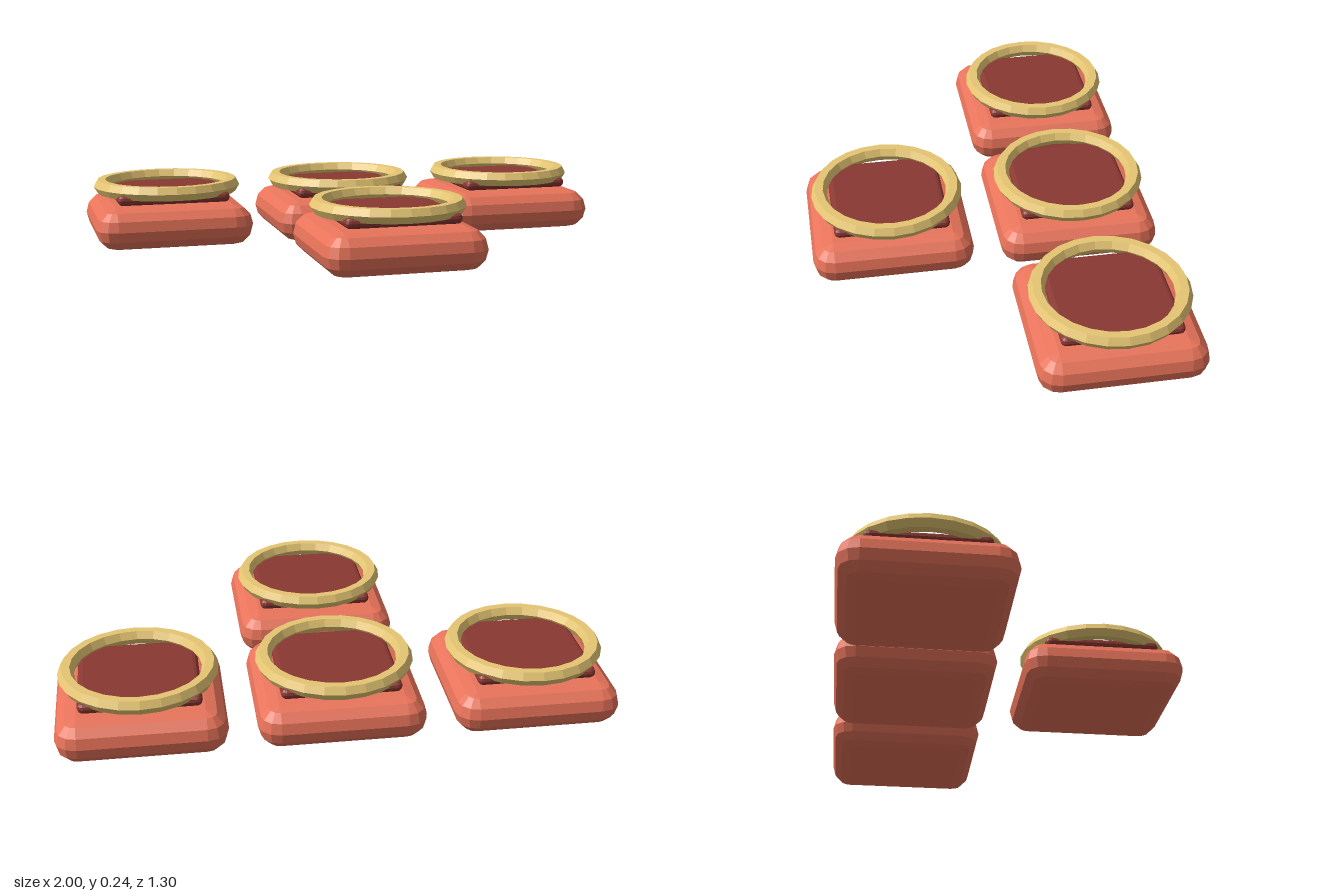
import * as THREE from 'three';

const material = (color) => new THREE.MeshStandardMaterial({ color, flatShading: true });

// Square cushion with fully rounded sides: quarter-round corners, faceted every 30 degrees
function cushionGeometry(width, height) {
  const r = height / 2, core = width / 2 - r, count = 16, levels = 7;
  const positions = [], index = [];
  for (let l = 0; l < levels; l++) {
    const tilt = THREE.MathUtils.degToRad(-90 + l * 30);
    for (let k = 0; k < 4; k++) {
      const mid = (k + 0.5) * Math.PI / 2;
      for (let j = 0; j < 4; j++) {
        const a = k * Math.PI / 2 + j * Math.PI / 6;
        positions.push(
          Math.sign(Math.cos(mid)) * core + r * Math.cos(tilt) * Math.cos(a),
          r * Math.sin(tilt),
          Math.sign(Math.sin(mid)) * core + r * Math.cos(tilt) * Math.sin(a));
      }
    }
  }
  const bottom = levels * count, top = bottom + 1, last = (levels - 1) * count;
  positions.push(0, -r, 0, 0, r, 0);
  for (let i = 0; i < count; i++) {
    const n = (i + 1) % count;
    for (let l = 0; l < levels - 1; l++) {
      const p = l * count, q = p + count;
      index.push(p + i, q + i, q + n, p + i, q + n, p + n);
    }
    // Flat caps
    index.push(bottom, i, n, top, last + n, last + i);
  }
  const geometry = new THREE.BufferGeometry();
  geometry.setAttribute('position', new THREE.Float32BufferAttribute(positions, 3));
  geometry.setIndex(index);
  geometry.computeVertexNormals();
  return geometry;
}

export function createModel() {
  const model = new THREE.Group();
  model.name = 'ringedTiles';

  const parts = [
    { name: 'base', geometry: cushionGeometry(0.6, 0.155), mat: material(0xe8735a), y: 0.0775 },
    { name: 'pad', geometry: cushionGeometry(0.43, 0.04), mat: material(0x8a3832), y: 0.183 },
    // Hexagonal-section hoop lying flat above the pad
    { name: 'ring', geometry: new THREE.TorusGeometry(0.255, 0.03, 6, 24).rotateX(-Math.PI / 2),
      mat: material(0xe6c673), y: 0.211 },
  ];

  // Three tiles in the back row, one in front of the middle
  const places = [[-0.7, -0.35], [0, -0.35], [0.7, -0.35], [0, 0.35]];
  for (const [x, z] of places) {
    const tile = new THREE.Group();
    tile.name = 'tile';
    tile.position.set(x, 0, z);
    for (const { name, geometry, mat, y } of parts) {
      const mesh = new THREE.Mesh(geometry, mat);
      mesh.name = name;
      mesh.position.y = y;
      tile.add(mesh);
    }
    model.add(tile);
  }
  return model;
}
